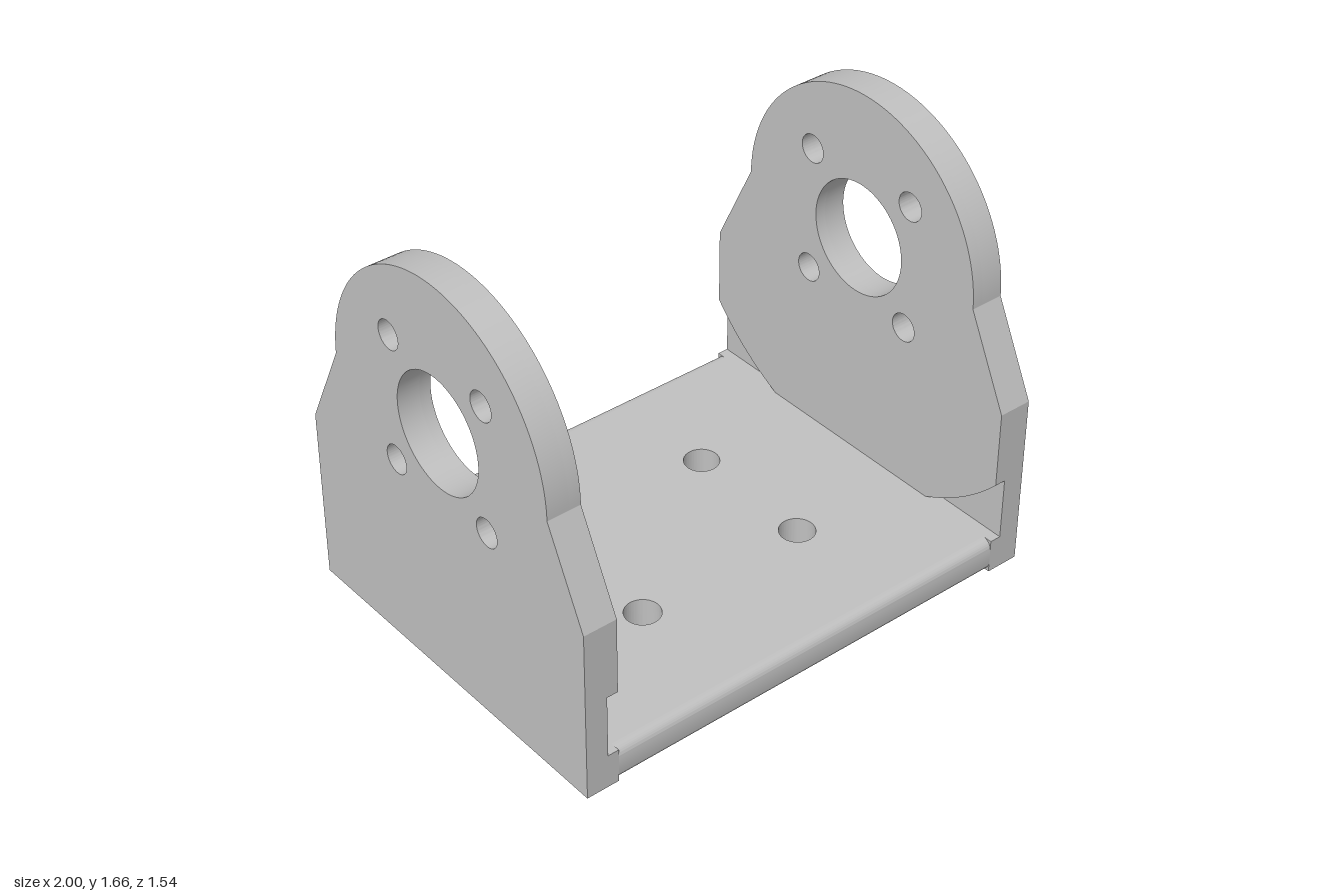
import * as THREE from 'three';
import { toCreasedNormals } from 'three/addons/utils/BufferGeometryUtils.js';

const HALF_Z = 0.77;        // half depth of the bracket
const INNER_X = 0.865;      // inner face of the side plates
const RECESS_X = 0.91;      // depth of the corner recesses
const FLOOR = 0.14;         // floor thickness
const AXIS_Y = 1.07;        // centre of the large bore
const TOP_R = 0.594;        // radius of the rounded top
const CLEAR_R = 1.022;      // arc bounding the corner recesses
const EDGE_R = 0.04;        // rounding of the floor edges

const metal = new THREE.MeshStandardMaterial({ color: 0xc0c0c0 });
metal.name = 'grey metal';

function addHole(shape, x, y, r) {
  const hole = new THREE.Path();
  hole.absarc(x, y, r, 0, Math.PI * 2, true);
  shape.holes.push(hole);
}

function extrude(shape, depth) {
  const geo = new THREE.ExtrudeGeometry(shape, { depth, bevelEnabled: false, curveSegments: 40 });
  return toCreasedNormals(geo, 0.4);
}

function mesh(name, geo) {
  const m = new THREE.Mesh(geo, metal);
  m.name = name;
  return m;
}

// Side plate outline with its bores; the inner layer has its lower corners cut by an arc
function plateShape(cutCorners) {
  const s = new THREE.Shape();
  const low = Math.atan2(FLOOR - AXIS_Y, Math.sqrt(CLEAR_R ** 2 - (AXIS_Y - FLOOR) ** 2));
  const high = -Math.acos(HALF_Z / CLEAR_R);
  s.moveTo(-HALF_Z, 0);
  s.lineTo(HALF_Z, 0);
  if (cutCorners) {
    s.lineTo(HALF_Z, FLOOR);
    s.absarc(0, AXIS_Y, CLEAR_R, low, high, false);
  }
  s.lineTo(HALF_Z, 0.71);
  s.absarc(0, AXIS_Y, TOP_R, 0, Math.PI, false);
  s.lineTo(-HALF_Z, 0.71);
  if (cutCorners) {
    s.absarc(0, AXIS_Y, CLEAR_R, Math.PI - high, Math.PI - low, false);
    s.lineTo(-HALF_Z, FLOOR);
  }
  s.closePath();
  addHole(s, 0, AXIS_Y, 0.228);
  for (const a of [-1, 1]) for (const b of [-1, 1]) addHole(s, a * 0.257, AXIS_Y + b * 0.257, 0.057);
  return s;
}

export function createModel() {
  const model = new THREE.Group();
  model.name = 'mountingBracket';

  // Two side plates, each an outer and an inner layer
  for (const side of [-1, 1]) {
    const plate = new THREE.Group();
    plate.name = side > 0 ? 'leftPlate' : 'rightPlate';
    const layers = [['outerLayer', false, RECESS_X, 1], ['innerLayer', true, INNER_X, RECESS_X]];
    for (const [name, cut, x0, x1] of layers) {
      const geo = extrude(plateShape(cut), x1 - x0).rotateY(Math.PI / 2);
      geo.translate(side > 0 ? x0 : -x1, 0, 0);
      plate.add(mesh(name, geo));
    }
    model.add(plate);
  }

  // Floor with four screw holes
  const flat = HALF_Z - EDGE_R;
  const floor = new THREE.Shape();
  floor.moveTo(-INNER_X, -flat);
  floor.lineTo(INNER_X, -flat);
  floor.lineTo(INNER_X, flat);
  floor.lineTo(-INNER_X, flat);
  floor.closePath();
  for (const a of [-1, 1]) for (const b of [-1, 1]) addHole(floor, a * 0.363, b * 0.273, 0.069);
  model.add(mesh('floor', extrude(floor, FLOOR).rotateX(-Math.PI / 2)));

  // Rounded front and back edges of the floor
  for (const side of [-1, 1]) {
    const edge = new THREE.Shape();
    edge.moveTo(flat, 0);
    edge.absarc(flat, EDGE_R, EDGE_R, -Math.PI / 2, 0, false);
    edge.absarc(flat, FLOOR - EDGE_R, EDGE_R, 0, Math.PI / 2, false);
    edge.closePath();
    const geo = extrude(edge, INNER_X * 2).translate(0, 0, -INNER_X);
    geo.rotateY(-side * Math.PI / 2);
    model.add(mesh(side > 0 ? 'frontEdge' : 'backEdge', geo));
  }
  return model;
}
